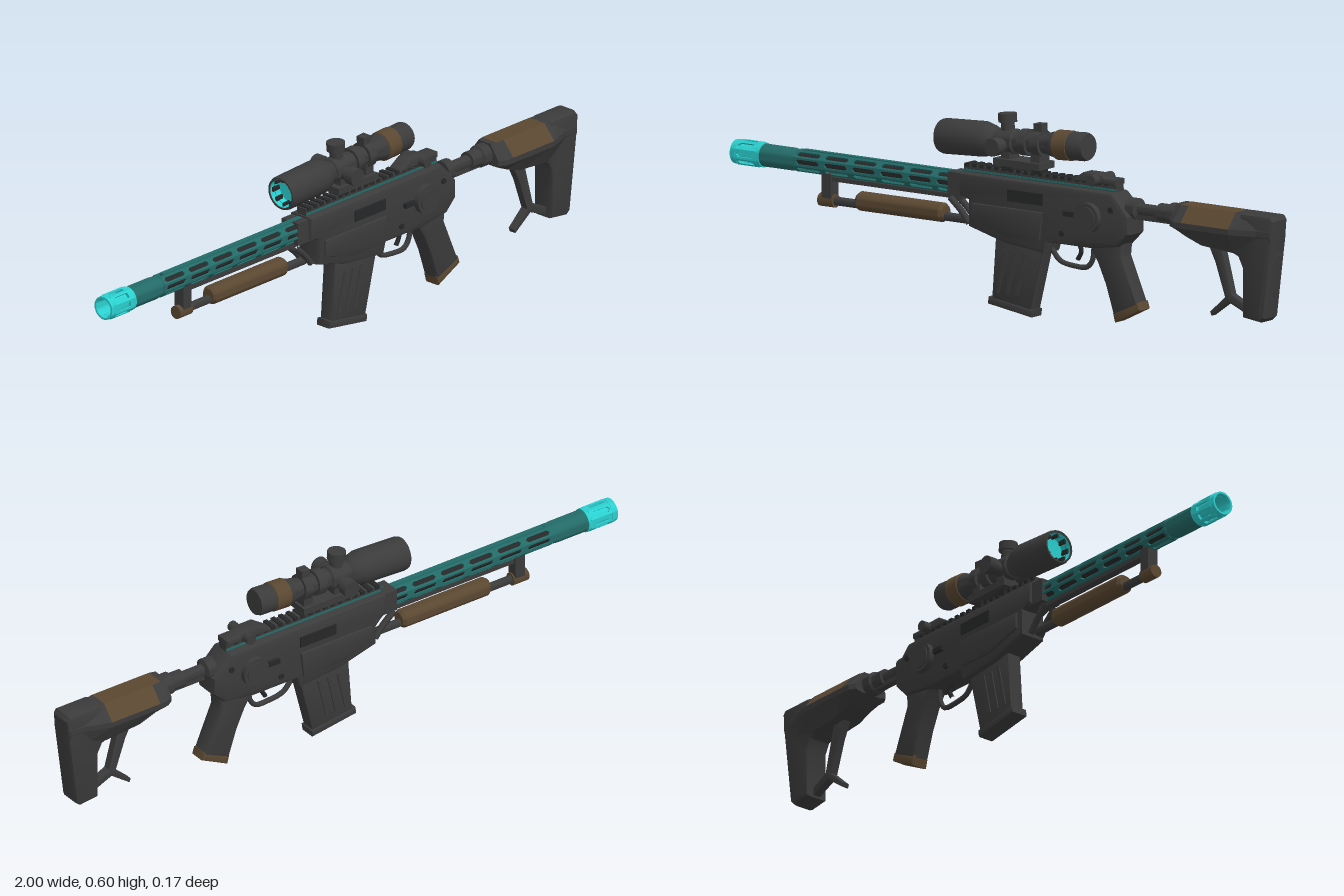
import * as THREE from 'three';
import { toCreasedNormals } from 'three/addons/utils/BufferGeometryUtils.js';

const paint = (name, color, side = THREE.FrontSide) => {
  const m = new THREE.MeshStandardMaterial({ color, side });
  m.name = name;
  return m;
};

export function createModel() {
  const root = new THREE.Group();
  root.name = 'scopedRifle';
  const grey = paint('charcoal', 0x3b3b3c);
  const black = paint('black', 0x262728);
  const teal = paint('darkTeal', 0x236b68);
  const cyan = paint('brightCyan', 0x2bcfcf, THREE.DoubleSide);
  const brown = paint('brown', 0x5a4731);

  const add = (name, geo, mat, parent = root) => {
    const m = new THREE.Mesh(geo, mat);
    m.name = name;
    parent.add(m);
    return m;
  };
  const box = (name, x0, x1, y0, y1, w, mat, z = 0, parent = root) => {
    const m = add(name, new THREE.BoxGeometry(x1 - x0, y1 - y0, w), mat, parent);
    m.position.set((x0 + x1) / 2, (y0 + y1) / 2, z);
    return m;
  };
  // Side profile in x, y given a bevelled thickness in z
  const slab = (name, pts, w, bevel, mat, z = 0) => {
    const g = new THREE.ExtrudeGeometry(new THREE.Shape(pts.map(p => new THREE.Vector2(...p))), {
      depth: w - 2 * bevel, bevelEnabled: bevel > 0, bevelThickness: bevel,
      bevelSize: bevel, bevelOffset: -bevel, bevelSegments: 2 });
    g.translate(0, 0, z - w / 2 + bevel);
    return add(name, toCreasedNormals(g, 0.6), mat);
  };
  // Turned part along x from [x, radius] pairs
  const turned = (name, pts, y, mat, parent = root, sides = 24) => {
    const g = new THREE.LatheGeometry(pts.map(([x, r]) => new THREE.Vector2(r, x)), sides);
    g.rotateZ(-Math.PI / 2);
    const m = add(name, toCreasedNormals(g, 0.6), mat, parent);
    m.position.y = y;
    return m;
  };
  const knob = (name, r, h, x, y, z, axis, mat, parent = root) => {
    const g = new THREE.CylinderGeometry(r, r, h, 20);
    if (axis === 'z') g.rotateX(Math.PI / 2);
    const m = add(name, g, mat, parent);
    m.position.set(x, y, z);
    return m;
  };
  const tube = (name, pts, r, mat) => add(name, new THREE.TubeGeometry(
    new THREE.CatmullRomCurve3(pts.map(p => new THREE.Vector3(p[0], p[1], p[2] || 0))), 20, r, 8), mat);

  // Ring of slotted panels around the bore
  const slottedTube = (name, x0, x1, r, slots, gap, mat) => {
    const group = new THREE.Group();
    group.name = name;
    const n = 8, h = r * Math.tan(Math.PI / n), t = 0.006;
    const s = new THREE.Shape();
    s.moveTo(x0, -h); s.lineTo(x1, -h); s.lineTo(x1, h); s.lineTo(x0, h);
    const pitch = (x1 - x0) / slots;
    for (let i = 0; i < slots; i++) {
      const a = x0 + i * pitch + gap, b = x0 + (i + 1) * pitch - gap, k = h * 0.55;
      const hole = new THREE.Path();
      hole.moveTo(a, 0); hole.lineTo(a + k, k); hole.lineTo(b - k, k);
      hole.lineTo(b, 0); hole.lineTo(b - k, -k); hole.lineTo(a + k, -k);
      s.holes.push(hole);
    }
    const g = new THREE.ExtrudeGeometry(s, { depth: t, bevelEnabled: false });
    g.translate(0, 0, r - t);
    for (let i = 0; i < n; i++) add(name + 'Panel', g, mat, group).rotation.x = i * 2 * Math.PI / n;
    group.position.y = 0.37;
    root.add(group);
  };

  // Barrel, handguard and muzzle
  turned('barrel', [[-0.9, 0], [-0.9, 0.022], [-0.1, 0.022], [-0.1, 0]], 0.37, black);
  slottedTube('handguard', -0.77, -0.15, 0.032, 6, 0.009, teal);
  turned('barrelSleeve', [[-0.9, 0], [-0.9, 0.034], [-0.79, 0.034], [-0.765, 0.031], [-0.765, 0]], 0.37, teal);
  slottedTube('muzzleBrake', -0.985, -0.905, 0.036, 1, 0.008, cyan);
  turned('muzzleLip', [[-0.985, 0.028], [-1, 0.03], [-1, 0.036], [-0.98, 0.038], [-0.98, 0.028]], 0.37, cyan);
  turned('muzzleBore', [[-0.985, 0.027], [-0.91, 0.027], [-0.9, 0]], 0.37, cyan);
  turned('muzzleCollar', [[-0.92, 0.028], [-0.92, 0.037], [-0.895, 0.037], [-0.895, 0]], 0.37, cyan);
  box('handguardRail', -0.75, -0.15, 0.396, 0.405, 0.018, teal);
  box('handguardEnd', -0.2, -0.13, 0.335, 0.405, 0.066, grey);

  // Folded support under the handguard
  box('supportPost', -0.675, -0.64, 0.26, 0.345, 0.036, grey);
  turned('supportFoot', [[-0.69, 0], [-0.69, 0.02], [-0.635, 0.02], [-0.635, 0]], 0.262, brown);
  turned('supportRod', [[-0.64, 0], [-0.64, 0.013], [-0.14, 0.013], [-0.14, 0]], 0.262, grey);
  turned('supportSleeve', [[-0.55, 0], [-0.55, 0.022], [-0.54, 0.029], [-0.24, 0.029], [-0.23, 0.022], [-0.23, 0]], 0.273, brown);
  box('supportBar', -0.66, -0.16, 0.322, 0.335, 0.024, grey);
  for (const z of [-0.018, 0.018]) tube('supportBrace', [[-0.2, 0.325, z], [-0.16, 0.29, z], [-0.13, 0.255, z]], 0.01, grey);

  // Receiver
  slab('receiver', [[-0.155, 0.41], [0.41, 0.41], [0.44, 0.38], [0.47, 0.345], [0.47, 0.29], [0.43, 0.25],
    [0.33, 0.235], [0.17, 0.235], [0.16, 0.2], [0.01, 0.215], [-0.12, 0.25], [-0.12, 0.33], [-0.155, 0.34]], 0.09, 0.014, grey);
  box('topRail', -0.15, 0.41, 0.405, 0.432, 0.036, grey);
  for (let x = -0.145; x < 0.39; x += 0.027) box('railTooth', x, x + 0.014, 0.426, 0.436, 0.044, black);
  for (const s of [-1, 1]) {
    box('railStripe', -0.15, 0.41, 0.412, 0.418, 0.004, teal, s * 0.0185);
    knob('pivotDisc', 0.045, 0.02, 0.33, 0.33, s * 0.053, 'z', grey);
    knob('pivotCap', 0.034, 0.006, 0.33, 0.33, s * 0.064, 'z', grey);
    knob('pin', 0.009, 0.008, 0.23, 0.27, s * 0.046, 'z', black);
    knob('rearPin', 0.009, 0.008, 0.41, 0.36, s * 0.046, 'z', black);
    box('selector', 0.24, 0.28, 0.325, 0.34, 0.014, black, s * 0.049);
    slab('sidePanel', [[-0.1, 0.325], [0.16, 0.325], [0.15, 0.24], [0.02, 0.24], [-0.1, 0.275]], 0.012, 0.004, grey, s * 0.046);
    box('ejectionPort', 0.03, 0.16, 0.345, 0.38, 0.008, black, s * 0.0445);
  }

  // Rear sight
  slab('rearSight', [[0.25, 0.43], [0.29, 0.457], [0.35, 0.457], [0.37, 0.447], [0.41, 0.447], [0.41, 0.43]], 0.05, 0.004, grey);
  knob('sightKnob', 0.016, 0.1, 0.34, 0.44, 0, 'z', grey);

  // Magazine, trigger and grip
  slab('magazine', [[-0.03, 0.24], [0.15, 0.22], [0.1, 0.02], [-0.045, 0.04]], 0.05, 0.007, grey);
  slab('magazineBase', [[-0.055, 0.046], [0.105, 0.022], [0.102, 0], [-0.058, 0.024]], 0.056, 0.005, grey);
  for (const s of [-1, 1]) for (let i = 0; i < 3; i++) {
    const x = 0.005 + i * 0.035;
    slab('magazineRib', [[x, 0.19], [x + 0.01, 0.19], [x - 0.02, 0.06], [x - 0.03, 0.06]], 0.006, 0, grey, s * 0.026);
  }
  tube('triggerGuard', [[0.16, 0.21], [0.19, 0.178], [0.24, 0.168], [0.29, 0.17], [0.31, 0.195], [0.315, 0.24]], 0.008, grey);
  tube('trigger', [[0.255, 0.245], [0.268, 0.215], [0.255, 0.188]], 0.007, black);
  slab('grip', [[0.31, 0.25], [0.44, 0.28], [0.435, 0.22], [0.495, 0.08], [0.405, 0.04], [0.375, 0.13], [0.345, 0.195]], 0.062, 0.014, grey);
  slab('gripBase', [[0.402, 0.05], [0.494, 0.09], [0.502, 0.066], [0.41, 0.02]], 0.056, 0.006, brown);

  // Stock tube and collars
  turned('stockTube', [[0.45, 0], [0.45, 0.032], [0.48, 0.032], [0.485, 0.018], [0.56, 0.018], [0.56, 0.027],
    [0.6, 0.027], [0.605, 0.034], [0.68, 0.034], [0.68, 0]], 0.365, grey);
  box('tubeLug', 0.48, 0.66, 0.335, 0.352, 0.022, grey);

  // Faceted stock body: stations of [x, width scale, bottom y]
  const stations = [[0.635, 0.8, 0.335], [0.655, 0.98, 0.325], [0.685, 1, 0.312], [0.74, 1, 0.292], [0.86, 1, 0.282], [0.94, 0.6, 0.28], [0.99, 0.57, 0.28]];
  const half = [[0.03, 0.403], [0.07, 0.357], [0.07, 0.34]];
  const rings = stations.map(([x, k, b]) => {
    const side = [...half, [0.042, b]].map(([z, y]) => [z * k, y]);
    return [...side, ...side.map(([z, y]) => [-z, y]).reverse()].map(([z, y]) => [x, y, z]);
  });
  const pos = { grey: [], brown: [] };
  for (let i = 0; i + 1 < rings.length; i++) for (let j = 0; j < 8; j++) {
    const k = (j + 1) % 8, [a, b, c, d] = [rings[i][j], rings[i + 1][j], rings[i + 1][k], rings[i][k]];
    const isBrown = i >= 2 && i <= 3 && [0, 6, 7].includes(j) || i === 1 && j === 7;
    pos[isBrown ? 'brown' : 'grey'].push(...a, ...d, ...b, ...b, ...d, ...c);
  }
  for (let j = 1; j < 7; j++) {
    pos.grey.push(...rings[0][0], ...rings[0][j + 1], ...rings[0][j]);
    pos.grey.push(...rings[6][0], ...rings[6][j], ...rings[6][j + 1]);
  }
  const shell = list => {
    const g = new THREE.BufferGeometry();
    g.setAttribute('position', new THREE.Float32BufferAttribute(list, 3));
    g.computeVertexNormals();
    return g;
  };
  // Winding is checked against the outward direction of the first face
  const orient = g => {
    const p = g.attributes.position, n = g.attributes.normal;
    if ((p.getY(0) - 0.34) * n.getY(0) + p.getZ(0) * n.getZ(0) < 0) g.scale(1, 1, -1);
    return g;
  };
  add('stockBody', orient(shell(pos.grey)), grey);
  add('cheekPanel', orient(shell(pos.brown)), brown);
  slab('buttPlate', [[0.88, 0.404], [0.99, 0.404], [1, 0.39], [0.995, 0.33], [0.965, 0.095], [0.95, 0.082],
    [0.885, 0.09], [0.885, 0.24], [0.87, 0.27], [0.82, 0.29]], 0.08, 0.014, grey);
  slab('stockStrut', [[0.74, 0.3], [0.79, 0.3], [0.83, 0.15], [0.89, 0.12], [0.89, 0.095], [0.82, 0.125], [0.755, 0.078],
    [0.75, 0.09], [0.805, 0.14], [0.77, 0.24]], 0.026, 0.003, grey);

  // Scope, tilted slightly
  const scope = new THREE.Group();
  scope.name = 'scope';
  scope.position.y = 0.515;
  scope.rotation.z = 0.05;
  root.add(scope);
  turned('scopeTube', [[-0.22, 0.043], [-0.24, 0.045], [-0.24, 0.05], [-0.23, 0.053], [-0.085, 0.053], [-0.055, 0.044],
    [-0.04, 0.032], [0.14, 0.03], [0.17, 0.038], [0.19, 0.042], [0.285, 0.043], [0.295, 0.039], [0.295, 0]], 0, grey, scope);
  turned('frontLens', [[-0.238, 0.044], [-0.2, 0.042], [-0.198, 0]], 0, cyan, scope);
  for (let i = 0; i < 8; i++) {
    const a = i * Math.PI / 4;
    box('lensMark', -0.232, -0.205, -0.007, 0.007, 0.006, black, 0, scope)
      .position.set(-0.218, 0.04 * Math.sin(a), 0.04 * Math.cos(a));
  }
  turned('zoomRing', [[0.185, 0.04], [0.188, 0.045], [0.237, 0.045], [0.24, 0.04]], 0, brown, scope);
  turned('turretHub', [[-0.035, 0.03], [-0.03, 0.038], [0.03, 0.038], [0.035, 0.03]], 0, grey, scope);
  knob('topStem', 0.02, 0.05, 0, 0.045, 0, 'y', grey, scope);
  knob('topTurret', 0.028, 0.026, 0, 0.07, 0, 'y', grey, scope);
  for (const s of [-1, 1]) {
    knob('sideStem', 0.02, 0.05, 0, -0.008, s * 0.045, 'z', grey, scope);
    knob('sideTurret', 0.027, 0.03, 0, -0.008, s * 0.07, 'z', grey, scope);
  }
  for (const x of [0.07, 0.12]) turned('mountRing', [[x - 0.014, 0.03], [x - 0.014, 0.04], [x + 0.014, 0.04], [x + 0.014, 0.03]], 0, grey, scope);
  box('ringClamp', 0.105, 0.135, 0.03, 0.06, 0.03, grey, 0, scope);

  // Scope mount
  box('mountBase', -0.03, 0.14, 0.445, 0.466, 0.075, grey);
  for (const x of [-0.01, 0.1]) {
    box('mountPost', x, x + 0.032, 0.46, 0.5, 0.05, grey);
    box('mountFoot', x, x + 0.03, 0.43, 0.45, 0.04, black);
  }
  return root;
}
